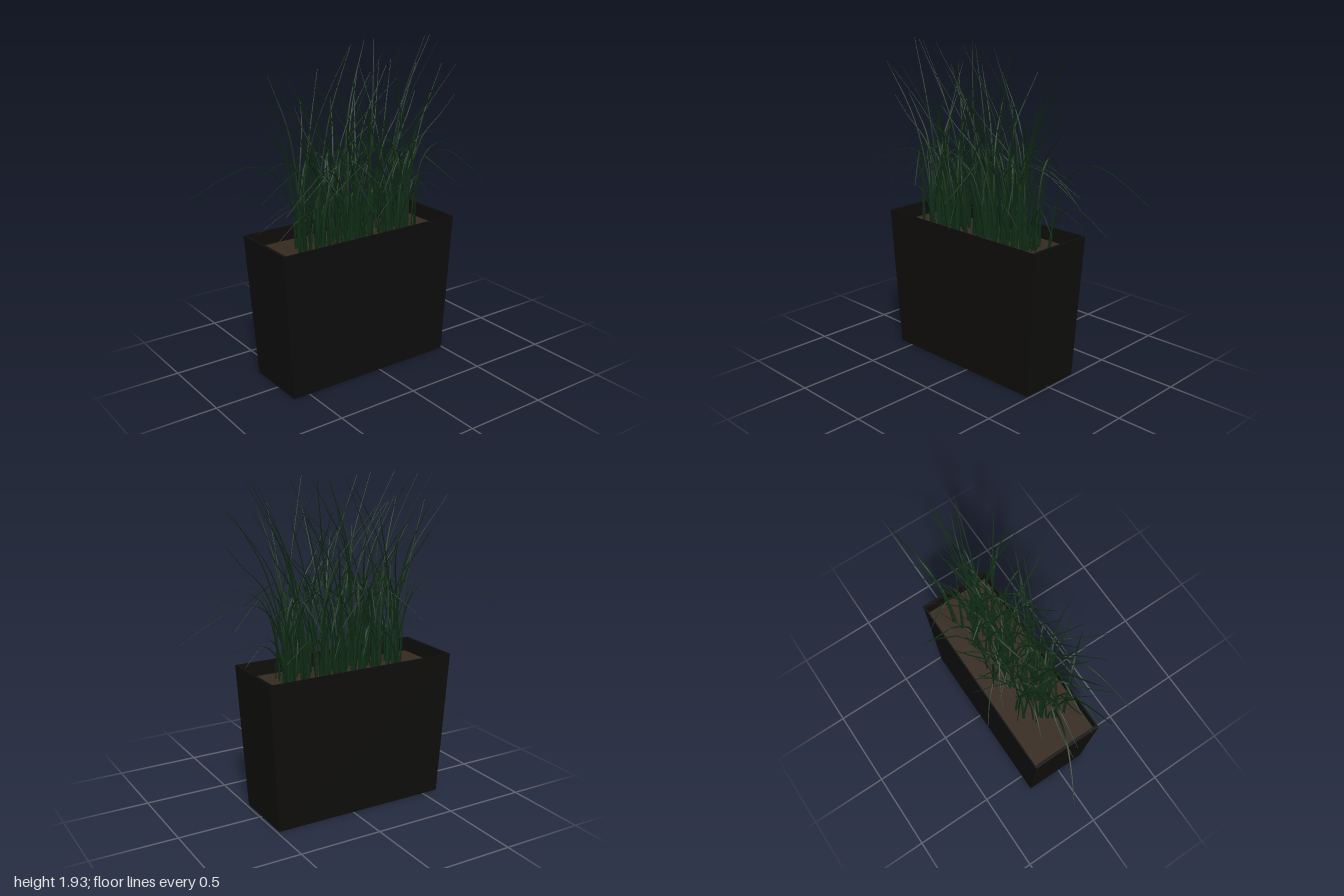
import * as THREE from 'three';
import { mergeGeometries } from 'three/addons/utils/BufferGeometryUtils.js';

const SOIL_Y = 0.79;
const CENTER = [-0.0575, -0.0225];

// Small seeded generator
let seed = 7;
const rand = (a = 0, b = 1) => {
  seed = (seed * 16807) % 2147483647;
  return a + (b - a) * (seed / 2147483647);
};

// Quad strips between a list of point loops
function loft(loops, closed) {
  const n = loops[0].length, pos = [], idx = [];
  loops.forEach(l => l.forEach(p => pos.push(...p)));
  for (let i = 0; i < loops.length - 1; i++) {
    for (let j = 0; j < (closed ? n : n - 1); j++) {
      const a = i * n + j, b = i * n + (j + 1) % n;
      idx.push(a, b, b + n, a, b + n, a + n);
    }
  }
  const g = new THREE.BufferGeometry();
  g.setAttribute('position', new THREE.Float32BufferAttribute(pos, 3));
  g.setIndex(idx);
  g.computeVertexNormals();
  return g;
}

// Rectangle loop, counter-clockwise seen from above
const rect = (hx, hz, y) => [[-hx, y, hz], [hx, y, hz], [hx, y, -hz], [-hx, y, -hz]];

// Blade outlines as [outward reach, height above soil]
const PROFILES = {
  tallBlades: [[0, 0], [0.03, 0.35], [0.14, 0.76], [0.36, 1.14]],
  leaningBlades: [[0, 0], [0.04, 0.3], [0.17, 0.66], [0.44, 0.98]],
  bentBlades: [[0, 0], [0.04, 0.3], [0.15, 0.56], [0.29, 0.69], [0.4, 0.81]],
  archedBlades: [[0, 0], [0.03, 0.25], [0.12, 0.46], [0.25, 0.525], [0.4, 0.47], [0.58, 0.36]],
  shortArchedBlades: [[0, 0], [0.03, 0.14], [0.11, 0.255], [0.21, 0.275], [0.42, 0.17]],
  shortBlades: [[0, 0], [0.02, 0.22], [0.08, 0.45], [0.17, 0.65]],
};

// Tapering ribbon with a V section; bend swings the tip sideways
function blade(profile, x, z, angle, bend, reach, lift, width) {
  const ca = Math.cos(angle), sa = Math.sin(angle) * 0.6;
  const len = Math.hypot(ca, sa), dx = ca / len, dz = sa / len;
  const curve = new THREE.CatmullRomCurve3(profile.map(([r, h]) => {
    const out = r * reach, side = bend * out * out;
    return new THREE.Vector3(x + ca * out - dz * side, SOIL_Y + h * lift, z + sa * out + dx * side);
  }));
  const steps = 14, loops = [];
  for (let i = 0; i <= steps; i++) {
    const t = i / steps, p = curve.getPoint(t);
    const w = width * 0.5 * (0.18 + 0.82 * Math.pow(1 - t, 0.8));
    loops.push([
      [p.x + dz * w, p.y, p.z - dx * w],
      [p.x + dx * w, p.y, p.z + dz * w],
      [p.x - dz * w, p.y, p.z + dx * w],
    ]);
  }
  return loft(loops, false);
}

export function createModel() {
  seed = 7;
  const model = new THREE.Group();
  const add = (geometry, material, name, parent) => {
    const mesh = new THREE.Mesh(geometry, material);
    mesh.name = name;
    parent.add(mesh);
    return mesh;
  };
  const potMat = new THREE.MeshStandardMaterial({ color: 0x0e0d0c, flatShading: true });
  const soilMat = new THREE.MeshStandardMaterial({ color: 0x35291f });
  const grassMat = new THREE.MeshStandardMaterial({ color: 0x0f2a14, side: THREE.DoubleSide });

  // Tapered planter: underside, outer walls, rim, inner walls
  const planter = new THREE.Group();
  planter.name = 'planter';
  planter.position.set(CENTER[0], 0, CENTER[1]);
  model.add(planter);
  add(loft([
    rect(0.001, 0.001, 0), rect(0.543, 0.198, 0), rect(0.598, 0.217, 0.875),
    rect(0.579, 0.21, 0.875), rect(0.574, 0.207, SOIL_Y - 0.02),
  ], true).toNonIndexed(), potMat, 'planterShell', planter);

  // Soil bed
  const soil = add(new THREE.PlaneGeometry(1.152, 0.416), soilMat, 'soil', planter);
  soil.rotation.x = -Math.PI / 2;
  soil.position.y = SOIL_Y;

  // Grass, one mesh for each kind of blade
  const grass = new THREE.Group();
  grass.name = 'grass';
  model.add(grass);
  const counts = {
    tallBlades: 16, leaningBlades: 30, bentBlades: 20,
    archedBlades: 34, shortArchedBlades: 14, shortBlades: 34,
  };
  // Outermost arching blades: x, z, angle, reach
  const outer = {
    archedBlades: [
      [-0.43, 0.0, 3.56, 1.07], [0.37, -0.13, -0.35, 1.14],
      [-0.2, 0.13, 2.35, 1.15], [0.3, 0.1, 1.0, 0.95], [0.02, -0.12, -1.2, 0.85],
    ],
    shortArchedBlades: [[0.37, -0.12, -0.05, 1.03], [-0.3, 0.03, 3.1, 0.95]],
    leaningBlades: [[-0.42, 0.05, 3.0, 0.92], [0.25, 0.02, 0.2, 0.86]],
    tallBlades: [[0.2, -0.03, -0.3, 1.0], [-0.12, 0.05, 2.8, 1.0]],
  };
  for (const [name, profile] of Object.entries(PROFILES)) {
    const blades = (outer[name] || []).map(([x, z, a, r]) => blade(profile, x, z, a, 0.2, r, 1, 0.018));
    const start = rand();
    for (let i = 0; i < counts[name]; i++) {
      // Roots fill an ellipse; two unrelated even steps keep position and direction mixed
      const u = -1 + 2 * ((start + i * 0.5698) % 1);
      const x = -0.05 + 0.41 * u;
      const z = (rand(-0.1, 0.1) + rand(-0.07, 0.07)) * Math.sqrt(1 - 0.5 * u * u);
      const angle = (i * 0.7549 + rand(0, 0.15)) * Math.PI * 2;
      // Blades heading past the planter ends are kept a little shorter
      const reach = rand(0.85, 1) * (1 - 0.15 * Math.max(0, u * Math.cos(angle)));
      const lift = name === 'shortBlades' ? rand(0.5, 1.05) : rand(0.985, 1);
      blades.push(blade(profile, x, z, angle, rand(-0.8, 0.8), reach, lift, rand(0.014, 0.019)));
    }
    add(mergeGeometries(blades), grassMat, name, grass);
  }
  return model;
}
